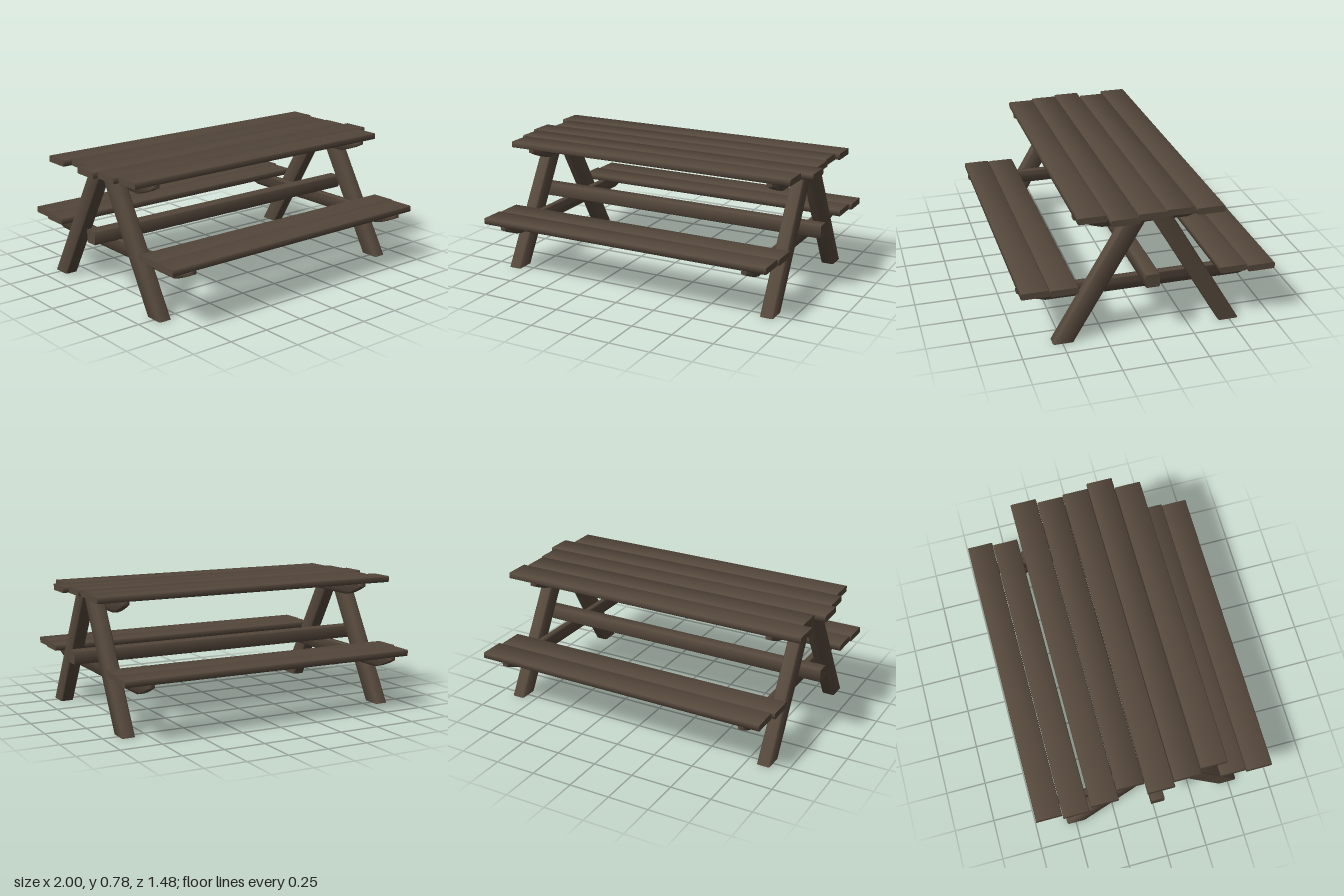
import * as THREE from 'three';
import { toCreasedNormals } from 'three/addons/utils/BufferGeometryUtils.js';

const CREASE = Math.PI / 3;

// Rectangle with small chamfered corners
function chamferedRect(w, h, c) {
  const a = w / 2, b = h / 2;
  return new THREE.Shape([
    [-a + c, -b], [a - c, -b], [a, -b + c], [a, b - c],
    [a - c, b], [-a + c, b], [-a, b - c], [-a, -b + c],
  ].map(([x, y]) => new THREE.Vector2(x, y)));
}

export function createModel() {
  const group = new THREE.Group();
  const wood = new THREE.MeshStandardMaterial({ color: 0x55483c });
  wood.name = 'darkWood';

  function add(name, geometry) {
    const mesh = new THREE.Mesh(toCreasedNormals(geometry, CREASE), wood);
    mesh.name = name;
    group.add(mesh);
  }

  // Straight board running along x
  function board(name, x0, x1, y0, y1, z0, z1, c = 0.005) {
    const g = new THREE.ExtrudeGeometry(chamferedRect(z1 - z0, y1 - y0, c), { depth: x1 - x0, bevelEnabled: false });
    g.rotateY(Math.PI / 2);
    g.translate(x0, (y0 + y1) / 2, (z0 + z1) / 2);
    add(name, g);
  }

  // Table top: uneven plank lengths, back to front
  [[-0.99, 0.98], [-0.935, 0.953], [-1, 0.965], [-0.97, 1], [-0.94, 0.928]].forEach(([x0, x1], i) => {
    const z = (i - 2) * 0.165;
    board('tablePlank' + (i + 1), x0, x1, 0.742, 0.78, z - 0.081, z + 0.081);
  });

  // Bench seats
  [[-0.905, 0.962, -0.658], [-0.925, 0.942, -0.494], [-0.925, 0.942, 0.492], [-0.935, 0.932, 0.655]].forEach(([x0, x1, z], i) => {
    board('benchPlank' + (i + 1), x0, x1, 0.332, 0.37, z - 0.081, z + 0.081);
  });

  // Long stretcher resting on the lower cross beams
  board('stretcher', -0.975, 0.985, 0.332, 0.412, -0.041, 0.041);

  // Cross beam along z with ends curving up underneath
  function crossBeam(name, x0, x1, half, y0, y1) {
    const s = new THREE.Shape();
    const flat = half - 0.162, lip = y1 - 0.02;
    s.moveTo(-flat, y0);
    s.lineTo(flat, y0);
    s.quadraticCurveTo(flat + 0.075, y0 + 0.018, half, lip);
    s.lineTo(half, y1);
    s.lineTo(-half, y1);
    s.lineTo(-half, lip);
    s.quadraticCurveTo(-flat - 0.075, y0 + 0.018, -flat, y0);
    const b = 0.004;
    const g = new THREE.ExtrudeGeometry(s, {
      depth: x1 - x0 - 2 * b, curveSegments: 3,
      bevelThickness: b, bevelSize: b, bevelOffset: -b, bevelSegments: 1,
    });
    g.rotateY(Math.PI / 2);
    g.translate(x0 + b, 0, 0);
    add(name, g);
  }

  // Slanted leg: upright post sheared towards the ridge, cut level at both ends
  function leg(name, x, side) {
    const height = 0.742;
    const g = new THREE.ExtrudeGeometry(chamferedRect(0.08, 0.12, 0.008), { depth: height, bevelEnabled: false });
    g.rotateX(-Math.PI / 2);
    const p = g.attributes.position;
    for (let i = 0; i < p.count; i++) {
      p.setZ(i, p.getZ(i) + side * (0.06 + 0.435 * (1 - p.getY(i) / height)));
    }
    g.translate(x, 0, 0);
    add(name, g);
  }

  // End frames
  [['right', -0.855, -0.815], ['left', 0.865, 0.785]].forEach(([end, legX, beamX]) => {
    leg(end + 'FrontLeg', legX, 1);
    leg(end + 'BackLeg', legX, -1);
    crossBeam(end + 'TableBeam', beamX, beamX + 0.04, 0.41, 0.66, 0.744);
    crossBeam(end + 'BenchBeam', beamX, beamX + 0.04, 0.738, 0.25, 0.334);
  });

  return group;
}
